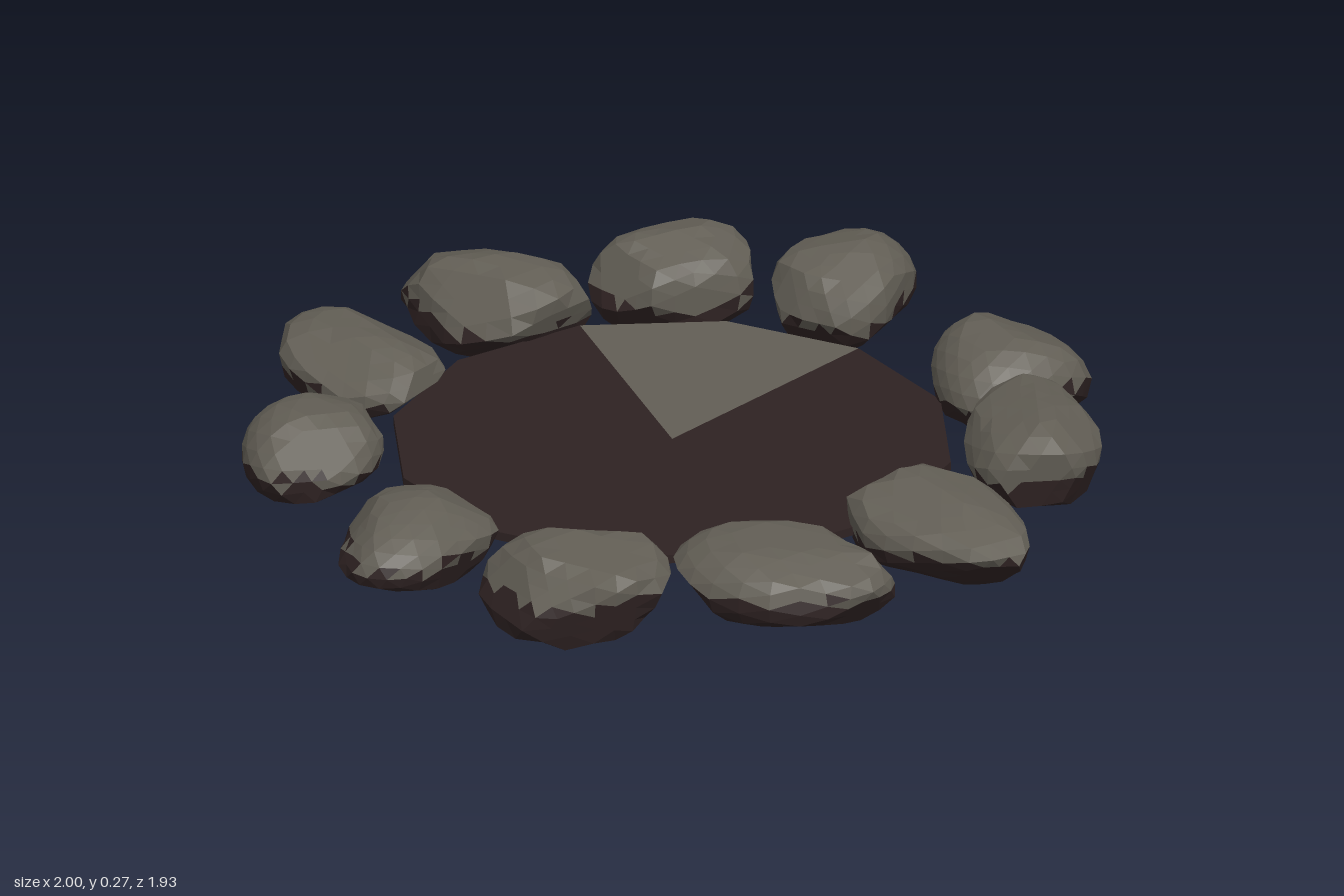
import * as THREE from 'three';

const stone = new THREE.MeshStandardMaterial({ color: 0x625e55 });
stone.name = 'stoneGrey';
const soot = new THREE.MeshStandardMaterial({ color: 0x2e2222 });
soot.name = 'sootBrown';

function seeded(seed) {
  let s = seed * 7919 + 17;
  return () => {
    s = (s * 16807) % 2147483647;
    return s / 2147483647;
  };
}

// One chiselled stone fitted to the footprint x0..x1, z0..z1 and the height.
// angle: direction of the long axis in degrees (x towards z); taper narrows that end.
function makeStone([x0, x1, z0, z1, height, angle, stretch, taper], index) {
  const rnd = seeded(index + 3);
  for (let i = 0; i < 5; i++) rnd();

  // Random cutting planes give the broad flat facets
  const planes = [];
  for (let i = 0; i < 16; i++) {
    const y = rnd() * 2 - 1, a = rnd() * Math.PI * 2, r = Math.sqrt(1 - y * y);
    planes.push({ n: new THREE.Vector3(r * Math.cos(a), y, r * Math.sin(a)), d: 0.76 + rnd() * 0.14 });
  }

  const ball = new THREE.IcosahedronGeometry(1, 3);
  const pos = ball.attributes.position;
  const v = new THREE.Vector3();
  for (let i = 0; i < pos.count; i++) {
    v.fromBufferAttribute(pos, i).normalize();
    let radius = 1;
    for (const { n, d } of planes) {
      const c = n.dot(v);
      if (c > 0.1) radius = Math.min(radius, d / c);
    }
    v.multiplyScalar(radius);
    const narrow = 1 - taper * v.x;
    pos.setXYZ(i, v.x * stretch, v.y * (1 - taper * 0.5 * v.x), v.z * narrow);
  }
  ball.rotateY(-THREE.MathUtils.degToRad(angle));

  // Fit to the footprint
  ball.computeBoundingBox();
  const { min, max } = ball.boundingBox;
  const fit = (value, a, b, lo, hi) => lo + ((value - a) / (b - a)) * (hi - lo);
  const base = 0.004 + 0.012 * rnd() * (index > 0 ? 1 : 0);
  for (let i = 0; i < pos.count; i++) {
    pos.setXYZ(
      i,
      fit(pos.getX(i), min.x, max.x, x0, x1),
      fit(pos.getY(i), min.y, max.y, index === 4 ? 0 : base, height),
      fit(pos.getZ(i), min.z, max.z, z0, z1)
    );
  }

  // Sooty lower faces with a jagged edge, a little higher on the outer side
  const upper = [], lower = [];
  const cx = (x0 + x1) / 2, cz = (z0 + z1) / 2, reach = Math.hypot(cx, cz);
  for (let i = 0; i < pos.count; i += 3) {
    let mx = 0, my = 0, mz = 0;
    const face = [];
    for (let k = i; k < i + 3; k++) {
      face.push(pos.getX(k), pos.getY(k), pos.getZ(k));
      mx += pos.getX(k) / 3;
      my += pos.getY(k) / 3;
      mz += pos.getZ(k) / 3;
    }
    const outward = ((mx - cx) * cx + (mz - cz) * cz) / reach;
    const edge = height * 0.5 + (rnd() - 0.5) * 0.03 + outward * 0.08;
    (my < edge ? lower : upper).push(...face);
  }
  const geo = new THREE.BufferGeometry();
  geo.setAttribute('position', new THREE.Float32BufferAttribute([...upper, ...lower], 3));
  geo.addGroup(0, upper.length / 3, 0);
  geo.addGroup(upper.length / 3, lower.length / 3, 1);
  geo.computeVertexNormals();
  const mesh = new THREE.Mesh(geo, [stone, soot]);
  mesh.name = 'ringStone' + (index + 1);
  return mesh;
}

// Pie-shaped piece of the thin twelve-sided bed
function makeBed(name, material, start, steps) {
  const step = Math.PI / 6;
  const geo = new THREE.CylinderGeometry(0.625, 0.625, 0.02, steps, 1, false, start * step, steps * step).toNonIndexed();
  geo.computeVertexNormals();
  const mesh = new THREE.Mesh(geo, material);
  mesh.position.set(-0.03, 0.085, -0.03);
  mesh.name = name;
  return mesh;
}

export function createModel() {
  const group = new THREE.Group();
  group.name = 'stoneFireRing';

  group.add(makeBed('ashBed', soot, 8, 10));
  group.add(makeBed('ashBedPaleWedge', stone, 6, 2));

  // x0, x1, z0, z1, height, angle, stretch, taper
  const stones = [
    [0.17, 0.53, -0.87, -0.52, 0.25, 75, 1.1, 0.3],
    [0.42, 0.82, -0.69, -0.28, 0.235, 48, 1.6, -0.1],
    [0.52, 1.0, -0.21, 0.12, 0.21, 8, 1.45, 0.28],
    [0.41, 0.88, 0.21, 0.57, 0.2, -25, 1.5, 0.1],
    [0.12, 0.52, 0.47, 0.9, 0.21, 95, 1.15, -0.1],
    [-0.28, 0.04, 0.54, 0.965, 0.2, 75, 1.35, 0.1],
    [-0.73, -0.4, 0.35, 0.76, 0.22, 62, 1.4, 0],
    [-1.0, -0.58, -0.03, 0.31, 0.2, 10, 1.25, 0.1],
    [-0.97, -0.55, -0.44, -0.1, 0.24, -15, 1.25, -0.05],
    [-0.68, -0.36, -0.79, -0.44, 0.25, -60, 1.35, 0],
    [-0.33, -0.03, -0.97, -0.61, 0.27, 80, 1.2, -0.05],
  ];
  stones.forEach((s, i) => group.add(makeStone(s, i)));
  return group;
}
